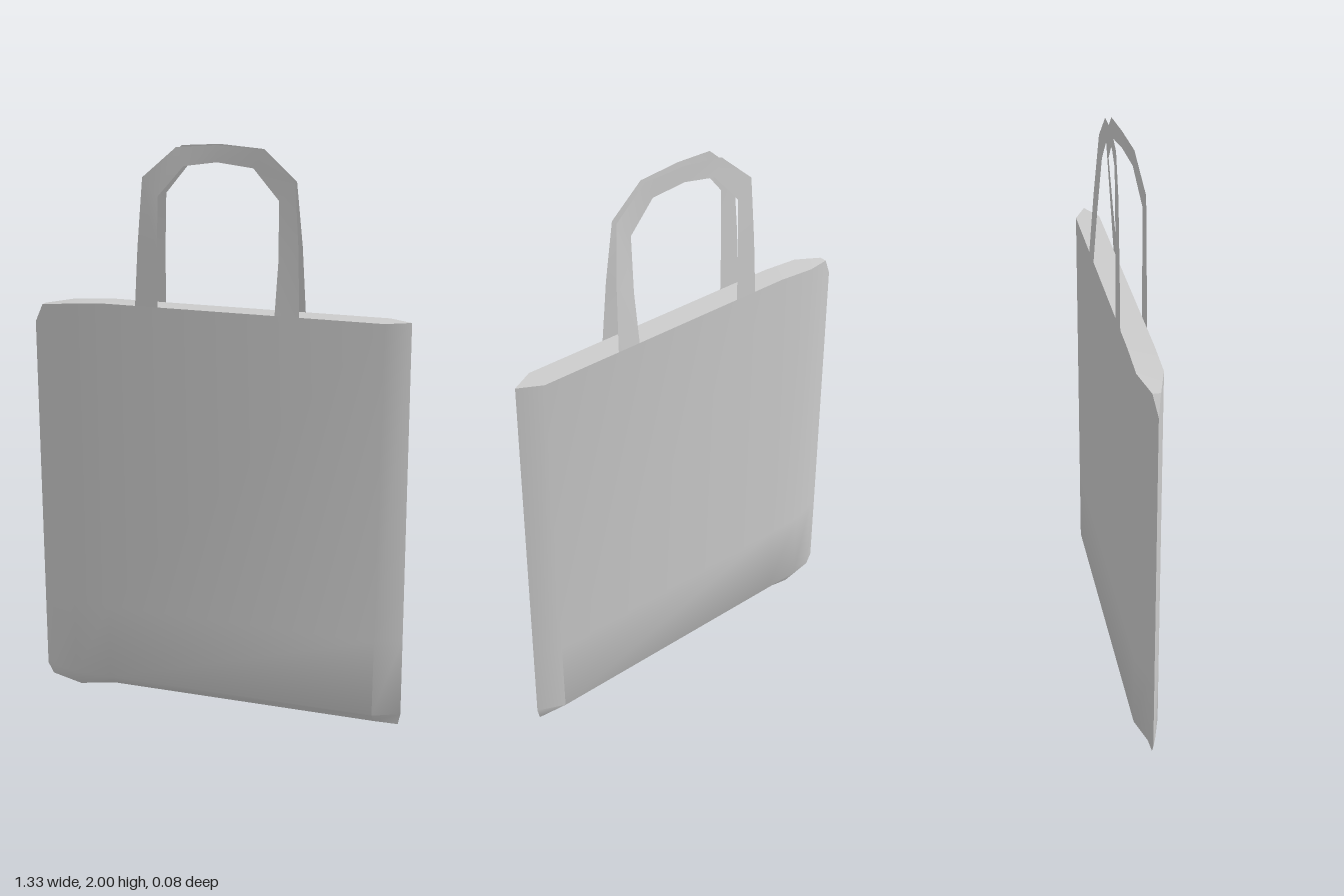
import * as THREE from 'three';
import { toCreasedNormals } from 'three/addons/utils/BufferGeometryUtils.js';

const material = new THREE.MeshStandardMaterial({ color: 0xcccccc, side: THREE.DoubleSide });

// Skin a list of equal-length sections; closed joins each section's last point to its first
function loft(sections, closed) {
  const n = sections[0].length, index = [];
  for (let i = 0; i < sections.length - 1; i++) {
    for (let k = 0; k < (closed ? n : n - 1); k++) {
      const a = i * n + k, d = i * n + (k + 1) % n;
      index.push(a, a + n, d + n, a, d + n, d);
    }
  }
  const geometry = new THREE.BufferGeometry();
  geometry.setAttribute('position', new THREE.Float32BufferAttribute(sections.flat(2), 3));
  geometry.setIndex(index);
  return toCreasedNormals(geometry, 0.85);
}

function part(name, geometry) {
  const mesh = new THREE.Mesh(geometry, material);
  mesh.name = name;
  return mesh;
}

export function createModel() {
  const group = new THREE.Group();
  group.name = 'toteBag';

  // Body: columns from right to left side seam
  // [x at seam, x low, x top, y seam, y low, y top, half depth]
  const columns = [
    [-0.665, -0.665, -0.665, 0.07, 0.1, 1.37, 0],
    [-0.645, -0.632, -0.632, 0.03, 0.07, 1.435, 0.013],
    [-0.535, -0.535, -0.535, 0.004, 0.07, 1.45, 0.042],
    [-0.4, -0.4, -0.4, 0.027, 0.07, 1.46, 0.042],
    [0.57, 0.57, 0.57, 0.028, 0.07, 1.46, 0.042],
    [0.655, 0.663, 0.65, 0.03, 0.07, 1.46, 0],
  ];
  const rings = columns.map(([xs, xl, xt, ys, yl, yt, d]) => {
    const xm = xl + (xt - xl) * 0.2, ym = 0.35;
    return [
      [xs, ys, 0],
      [xl, yl, d], [xm, ym, d], [xt, yt, d],
      [xt, yt, -d], [xm, ym, -d], [xl, yl, -d],
    ];
  });
  group.add(part('bagBody', loft(rings, true)));

  // Handles: flat strips leaning towards each other
  // [outer x, outer y, inner x, inner y, z]
  const strip = [
    [-0.28, 1.46, -0.2, 1.46, 0.042],
    [-0.268, 1.66, -0.2, 1.64, 0.042],
    [-0.248, 1.89, -0.195, 1.83, 0.042],
    [-0.135, 1.99, -0.11, 1.93, 0.028],
    [0, 2, 0, 1.945, 0.016],
    [0.15, 1.99, 0.12, 1.93, 0.01],
    [0.26, 1.89, 0.207, 1.83, 0.011],
    [0.278, 1.68, 0.212, 1.64, 0.027],
    [0.288, 1.46, 0.205, 1.46, 0.042],
  ];
  for (const [name, side] of [['frontHandle', 1], ['backHandle', -1]]) {
    const sections = strip.map(([ox, oy, ix, iy, z]) => {
      const outer = [ox, oy, z * side], inner = [ix, iy, z * side];
      return side > 0 ? [inner, outer] : [outer, inner];
    });
    group.add(part(name, loft(sections, false)));
  }
  return group;
}
